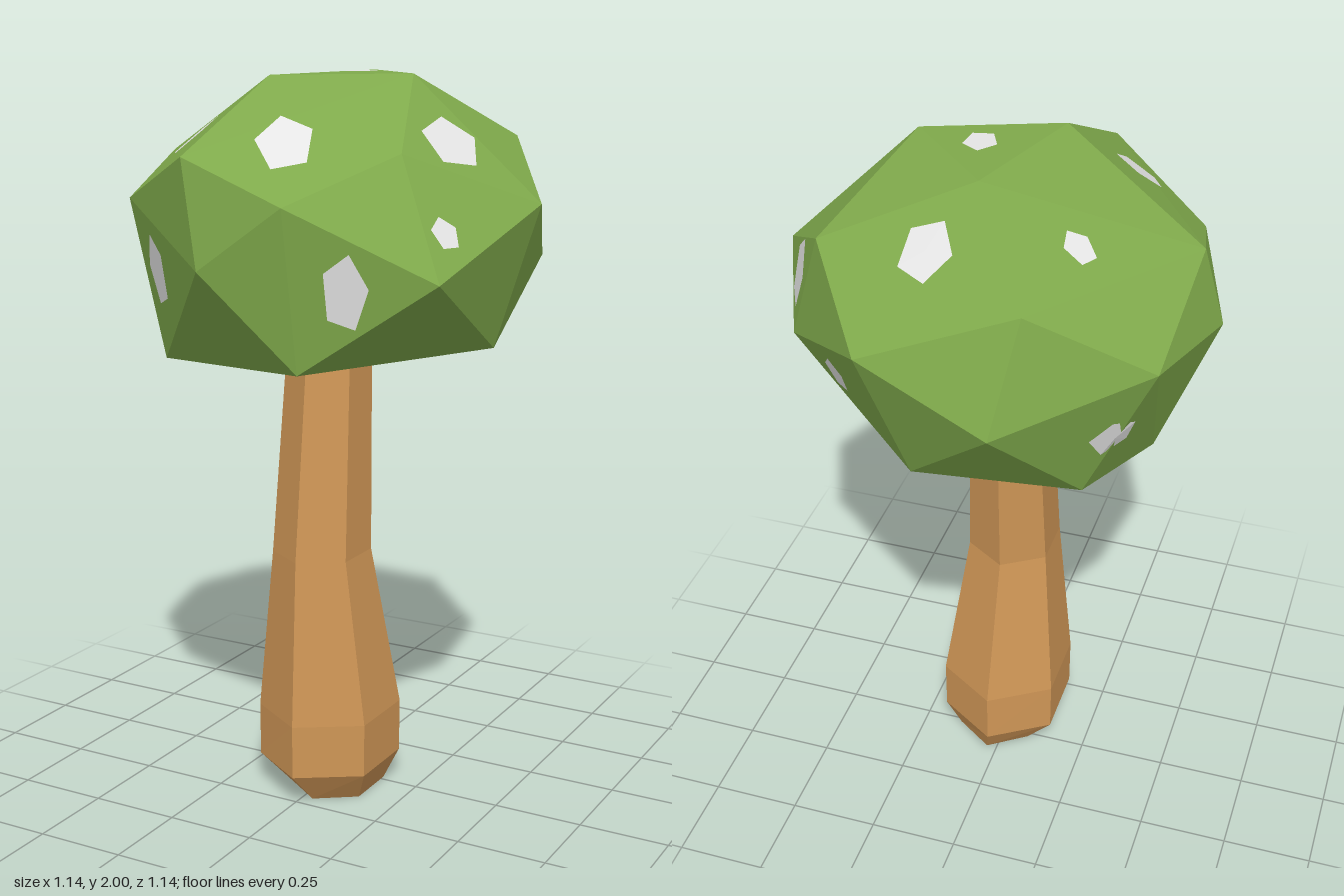
import * as THREE from 'three';
import { ConvexGeometry } from 'three/addons/geometries/ConvexGeometry.js';

const V = (a) => new THREE.Vector3(...a);

// Faceted cap: corner points in rings, from the crown down to the underside
const CAP_POINTS = [
  // crown
  [-0.113, 1.995, 0.171], [0.235, 2, 0.028], [0, 2, -0.208],
  // shoulder
  [-0.513, 1.78, 0.025], [-0.153, 1.807, 0.535], [0.327, 1.815, 0.275],
  [0.39, 1.828, -0.297], [-0.187, 1.807, -0.468],
  // waist
  [-0.572, 1.577, 0.02], [-0.453, 1.674, 0.333], [-0.09, 1.53, 0.57],
  [0.14, 1.697, 0.545], [0.495, 1.515, 0.4], [0.57, 1.674, -0.045],
  [0.49, 1.515, -0.254], [0.21, 1.66, -0.538], [-0.135, 1.515, -0.572],
  [-0.49, 1.63, -0.342],
  // underside rim
  [0.468, 1.298, 0.01], [0.15, 1.277, 0.49], [-0.362, 1.245, 0.31],
  [-0.43, 1.235, -0.07], [-0.31, 1.25, -0.34], [0.12, 1.266, -0.415],
].map(V);

// Spots: approximate centre, half width, half height along the slope
const SPOTS = [
  [[0.09, 1.87, -0.345], 0.072, 0.085],
  [[-0.26, 1.87, -0.214], 0.042, 0.052],
  [[0.06, 2.0, -0.01], 0.045, 0.055],
  [[0.475, 1.676, -0.213], 0.055, 0.1],
  [[-0.27, 1.83, 0.27], 0.05, 0.085],
  [[0.055, 1.828, 0.37], 0.077, 0.11],
  [[0.375, 1.83, 0.095], 0.092, 0.085],
  [[0.46, 1.625, 0.3], 0.042, 0.048],
  [[-0.336, 1.49, 0.41], 0.058, 0.1],
  [[0.278, 1.49, 0.476], 0.06, 0.1],
  [[0.35, 1.49, -0.407], 0.042, 0.058],
  [[-0.38, 1.44, -0.34], 0.07, 0.06],
];

// Trunk rings: height, centre x, centre z, half width, half depth
const RINGS = [
  [0, 0.03, 0.06, 0.108, 0.15],
  [0.09, 0.012, 0.075, 0.167, 0.215],
  [0.24, 0.012, 0.075, 0.168, 0.215],
  [0.7, 0, 0.098, 0.115, 0.148],
  [1.32, 0, 0.05, 0.096, 0.125],
];

function makeTrunk() {
  const g = new THREE.CylinderGeometry(1, 1, RINGS.length - 1, 6, RINGS.length - 1);
  const p = g.attributes.position;
  for (let i = 0; i < p.count; i++) {
    const [y, cx, cz, sx, sz] = RINGS[Math.round(p.getY(i) + (RINGS.length - 1) / 2)];
    p.setXYZ(i, cx + sx * p.getX(i) / 0.866, y, cz + sz * p.getZ(i));
  }
  const flat = g.toNonIndexed();
  flat.computeVertexNormals();
  return flat;
}

// Planes of the cap faces, used to lay spots on its surface
function facePlanes(geometry) {
  const p = geometry.attributes.position;
  const planes = [];
  for (let i = 0; i < p.count; i += 3) {
    const [a, b, c] = [0, 1, 2].map((k) => new THREE.Vector3().fromBufferAttribute(p, i + k));
    planes.push(new THREE.Plane().setFromCoplanarPoints(a, b, c));
  }
  return planes;
}

// Push a point outwards from the cap's heart onto its surface
function project(point, planes) {
  const heart = new THREE.Vector3(0, 1.6, 0);
  const dir = point.clone().sub(heart);
  let best = Infinity, normal = null;
  for (const plane of planes) {
    const slope = plane.normal.dot(dir);
    if (slope <= 1e-6) continue;
    const t = -plane.distanceToPoint(heart) / slope;
    if (t < best) { best = t; normal = plane.normal; }
  }
  return { point: heart.addScaledVector(dir, best), normal };
}

function makeSpot([centre, w, h], planes, turn) {
  const { point, normal } = project(V(centre), planes);
  const side = new THREE.Vector3(0, 1, 0).cross(normal);
  if (side.length() < 0.1) side.set(1, 0, 0);
  side.normalize();
  const up = normal.clone().cross(side).normalize();
  const g = new THREE.CircleGeometry(1, 5, Math.PI / 2 + turn);
  const p = g.attributes.position;
  for (let i = 0; i < p.count; i++) {
    const q = point.clone().addScaledVector(side, p.getX(i) * w).addScaledVector(up, p.getY(i) * h);
    const hit = project(q, planes);
    hit.point.addScaledVector(normal, 0.005);
    p.setXYZ(i, hit.point.x, hit.point.y, hit.point.z);
  }
  const flat = g.toNonIndexed();
  flat.computeVertexNormals();
  return flat;
}

export function createModel() {
  const capGreen = new THREE.MeshStandardMaterial({ color: 0x7fa94b });
  const trunkBrown = new THREE.MeshStandardMaterial({ color: 0xcf9656 });
  const spotWhite = new THREE.MeshStandardMaterial({ color: 0xe4e4e4 });
  capGreen.name = 'cap green';
  trunkBrown.name = 'trunk brown';
  spotWhite.name = 'spot white';

  const model = new THREE.Group();
  model.name = 'mushroomTree';
  const add = (geometry, material, name, parent = model) => {
    const mesh = new THREE.Mesh(geometry, material);
    mesh.name = name;
    parent.add(mesh);
  };

  add(makeTrunk(), trunkBrown, 'trunk');
  const capGeometry = new ConvexGeometry(CAP_POINTS);
  add(capGeometry, capGreen, 'cap');

  // Pentagonal spots scattered over the cap
  const spots = new THREE.Group();
  spots.name = 'spots';
  model.add(spots);
  const planes = facePlanes(capGeometry);
  SPOTS.forEach((s, i) => add(makeSpot(s, planes, ((i % 3) - 1) * 0.2), spotWhite, `spot${i + 1}`, spots));

  return model;
}
